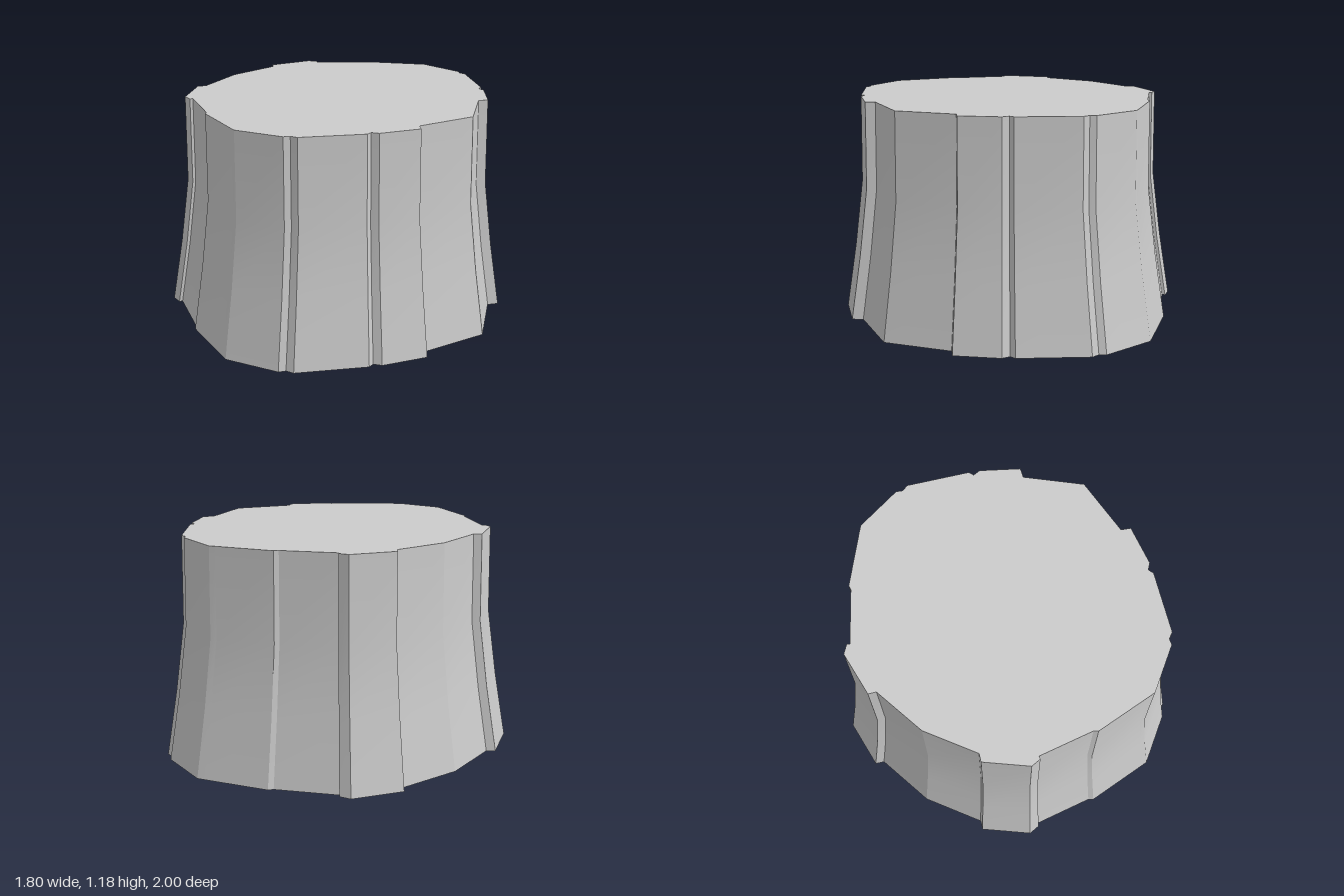
import * as THREE from 'three';

// Half of the ground outline as [x, depth], from the right tip round the back to the left
const HALF = [
  [0.90, 0], [0.75, -0.34], [0.79, -0.385], [0.65, -0.59], [0.605, -0.605], [0.605, -0.64],
  [0.335, -0.91], [0.29, -0.915], [0.265, -0.945], [-0.035, -1.0], [-0.07, -0.985],
  [-0.395, -0.84], [-0.41, -0.815], [-0.69, -0.63], [-0.70, -0.645], [-0.76, -0.625],
  [-0.885, -0.375], [-0.85, -0.34], [-0.905, 0],
];
// Flare of the trunk as [height, scale of the outline]
const FLARE = [[0, 1], [0.36, 0.935], [0.72, 0.883], [1.185, 0.875]];

// One vertical facet: sharp against its neighbours, smooth along its height
function facet([x0, z0], [x1, z1]) {
  const pos = [], index = [];
  FLARE.forEach(([y, s], i) => {
    pos.push(x0 * s, y, z0 * s, x1 * s, y, z1 * s);
    if (i > 0) {
      const a = 2 * i - 2;
      index.push(a, a + 1, a + 3, a, a + 3, a + 2);
    }
  });
  const g = new THREE.BufferGeometry();
  g.setAttribute('position', new THREE.Float32BufferAttribute(pos, 3));
  g.setIndex(index);
  g.computeVertexNormals();
  return g;
}

export function createModel() {
  const group = new THREE.Group();
  group.name = 'stump';
  const material = new THREE.MeshStandardMaterial({ color: 0xcccccc });
  const add = (parent, geometry, name) => {
    const mesh = new THREE.Mesh(geometry, material);
    mesh.name = name;
    parent.add(mesh);
    return mesh;
  };

  // Mirror the half outline front to back
  const outline = [...HALF, ...HALF.slice(1, -1).reverse().map(([x, z]) => [x, -z])];

  // Faceted bark
  const bark = new THREE.Group();
  bark.name = 'bark';
  group.add(bark);
  outline.forEach((p, i) => add(bark, facet(p, outline[(i + 1) % outline.length]), 'barkFacet'));

  // Flat cut top and underside
  const [height, topScale] = FLARE[FLARE.length - 1];
  const cap = (s) => new THREE.ShapeGeometry(
    new THREE.Shape(outline.map(([x, z]) => new THREE.Vector2(x * s, -z * s))));
  add(group, cap(topScale).rotateX(-Math.PI / 2), 'cutTop').position.y = height;
  add(group, cap(1).rotateX(Math.PI / 2), 'underside');
  return group;
}
